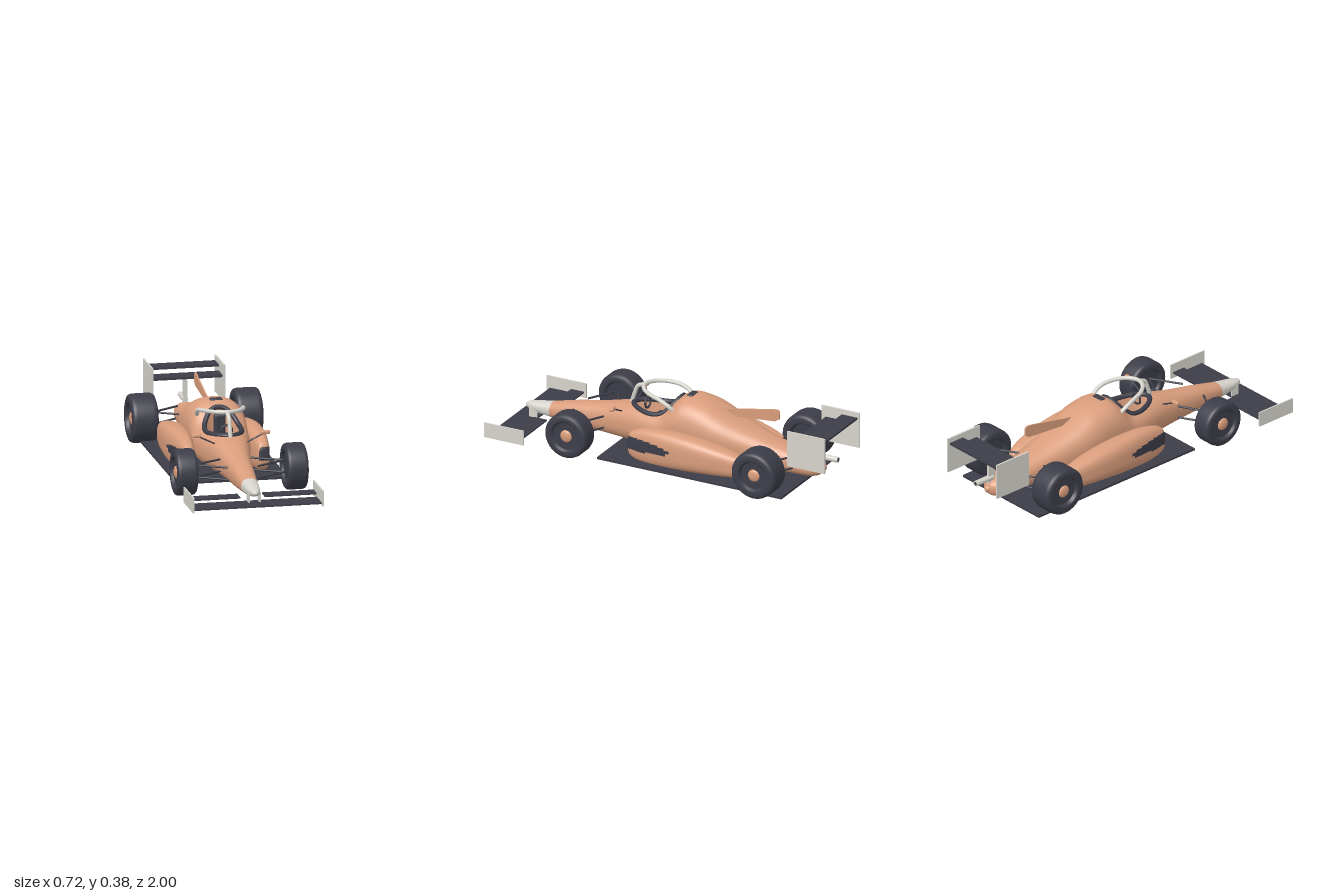
import * as THREE from 'three';
import { RoundedBoxGeometry } from 'three/addons/geometries/RoundedBoxGeometry.js';

const mat = (name, color) => Object.assign(new THREE.MeshStandardMaterial({ color }), { name });
const V = (x, y, z) => new THREE.Vector3(x, y, z);

// Smooth run of superellipse sections; stations are [z, centreX, halfWidth, bottom, top]
function makeHull(stations, power) {
  const a = new THREE.CatmullRomCurve3(stations.map(s => V(s[0], s[1], s[2])), false, 'catmullrom');
  const b = new THREE.CatmullRomCurve3(stations.map(s => V(s[0], s[3], s[4])), false, 'catmullrom');
  const at = t => {
    const p = a.getPoint(t), q = b.getPoint(t);
    return { z: p.x, cx: p.y, w: Math.max(p.z, 0.001), mid: (q.y + q.z) / 2, h: (q.z - q.y) / 2 };
  };
  const bend = v => Math.sign(v) * Math.abs(v) ** (2 / power);
  const point = (t, angle) => {
    const s = at(t);
    return V(s.cx + s.w * bend(Math.cos(angle)), s.mid + s.h * bend(Math.sin(angle)), s.z);
  };
  const topY = (x, z) => {
    let lo = 0, hi = 1;
    for (let i = 0; i < 30; i++) {
      const m = (lo + hi) / 2;
      if (at(m).z > z) lo = m; else hi = m;
    }
    const s = at(lo);
    return s.mid + s.h * Math.max(0, 1 - Math.abs((x - s.cx) / s.w) ** power) ** (1 / power);
  };
  return { point, topY };
}

// Skin a grid of points; pick(centre) gives a material index, or -1 for a hole
function skin(rows, cols, pointAt, pick = () => 0) {
  const pos = [], groups = [[], []];
  const pts = [];
  for (let i = 0; i <= rows; i++) for (let j = 0; j < cols; j++) {
    const p = pointAt(i / rows, (j / cols) * Math.PI * 2);
    pts.push(p);
    pos.push(p.x, p.y, p.z);
  }
  for (let i = 0; i < rows; i++) for (let j = 0; j < cols; j++) {
    const k = (j + 1) % cols;
    const a = i * cols + j, b = i * cols + k, c = a + cols, d = b + cols;
    const centre = V(0, 0, 0).add(pts[a]).add(pts[b]).add(pts[c]).add(pts[d]).multiplyScalar(0.25);
    const m = pick(centre);
    if (m >= 0) groups[m].push(a, c, b, b, c, d);
  }
  const g = new THREE.BufferGeometry();
  g.setAttribute('position', new THREE.Float32BufferAttribute(pos, 3));
  g.setIndex([...groups[0], ...groups[1]]);
  g.addGroup(0, groups[0].length, 0);
  g.addGroup(groups[0].length, groups[1].length, 1);
  g.computeVertexNormals();
  return g;
}

export function createModel() {
  const car = new THREE.Group();
  const paint = mat('peach paint', 0xd99d7c);
  const dark = mat('charcoal', 0x3d3d49);
  const light = mat('pale grey', 0xd6d4cc);
  const inner = mat('cockpit lining', 0xd99d7c);
  inner.side = THREE.DoubleSide;

  const add = (name, geometry, material, x = 0, y = 0, z = 0, parent = car) => {
    const m = new THREE.Mesh(geometry, material);
    m.name = name;
    m.position.set(x, y, z);
    parent.add(m);
    return m;
  };
  const box = (name, material, x0, x1, y0, y1, z0, z1) =>
    add(name, new THREE.BoxGeometry(x1 - x0, y1 - y0, z1 - z0), material, (x0 + x1) / 2, (y0 + y1) / 2, (z0 + z1) / 2);
  const rod = (name, from, to, r, material) => {
    const m = add(name, new THREE.CylinderGeometry(r, r, from.distanceTo(to), 12), material);
    m.position.copy(from).lerp(to, 0.5);
    m.quaternion.setFromUnitVectors(V(0, 1, 0), to.clone().sub(from).normalize());
  };
  const tube = (name, points, r, material, closed = false) =>
    add(name, new THREE.TubeGeometry(new THREE.CatmullRomCurve3(points, closed), 64, r, 12, closed), material);

  // Fuselage with a cockpit opening, and a pale nose cone
  const hull = makeHull([
    [0.935, 0, 0.002, 0.1, 0.104], [0.92, 0, 0.02, 0.086, 0.119], [0.87, 0, 0.036, 0.074, 0.13],
    [0.77, 0, 0.047, 0.062, 0.147], [0.62, 0, 0.062, 0.052, 0.182], [0.45, 0, 0.08, 0.048, 0.215],
    [0.3, 0, 0.108, 0.045, 0.25], [0.2, 0, 0.13, 0.044, 0.264], [0.08, 0, 0.152, 0.042, 0.272],
    [0.03, 0, 0.156, 0.042, 0.295], [-0.03, 0, 0.16, 0.042, 0.352], [-0.09, 0, 0.162, 0.042, 0.373],
    [-0.2, 0, 0.163, 0.042, 0.357], [-0.3, 0, 0.155, 0.042, 0.318], [-0.42, 0, 0.13, 0.044, 0.27],
    [-0.55, 0, 0.103, 0.046, 0.225], [-0.7, 0, 0.083, 0.05, 0.185], [-0.81, 0, 0.073, 0.052, 0.168],
    [-0.86, 0, 0.058, 0.062, 0.155], [-0.885, 0, 0.03, 0.08, 0.135], [-0.893, 0, 0.002, 0.106, 0.11]], 2.4);
  const split = 3 / 20, openZ = 0.125, openL = 0.145, openW = 0.097;
  const inOpening = p => {
    const c = (p.z - openZ) / openL;
    return p.y > 0.2 && Math.abs(c) < 1 && Math.abs(p.x) < openW * Math.sqrt(1 - c * c) * (1 - 0.2 * c);
  };
  add('noseCone', skin(24, 64, (t, a) => hull.point(t * split, a)), light);
  add('fuselage', skin(170, 96, (t, a) => hull.point(split + t * (1 - split), a), p => inOpening(p) ? -1 : 0), [paint, dark]);
  add('tailKnob', new THREE.SphereGeometry(0.02, 20, 14), paint, 0, 0.108, -0.885);

  // Cockpit: rim, lining, seat and steering wheel
  const rimPoint = a => {
    const x = openW * Math.sin(a) * (1 - 0.2 * Math.cos(a)), z = openZ + openL * Math.cos(a);
    return V(x, hull.topY(x, z), z);
  };
  tube('cockpitRim', Array.from({ length: 40 }, (_, i) => rimPoint(i / 40 * Math.PI * 2)), 0.0135, dark, true);
  add('cockpitLining', skin(10, 48, (t, a) => {
    const p = rimPoint(a), s = t < 0.7 ? 1 - t * 0.2 : 0.86 * (1 - t) / 0.3;
    return V(p.x * s, THREE.MathUtils.lerp(p.y, 0.15, Math.min(1, t / 0.7)), openZ + (p.z - openZ) * s);
  }), inner);
  add('seat', new RoundedBoxGeometry(0.13, 0.05, 0.15, 3, 0.02), dark, 0, 0.185, 0.08);
  add('headrest', new RoundedBoxGeometry(0.065, 0.14, 0.035, 3, 0.015), dark, 0, 0.245, 0.012);
  add('steeringWheel', new THREE.TorusGeometry(0.03, 0.006, 10, 28), dark, 0, 0.265, 0.19);

  // Protective hoop over the cockpit
  const hoop = [[0.112, 0.3, -0.03], [0.123, 0.328, 0], [0.122, 0.352, 0.05], [0.1, 0.365, 0.13], [0.055, 0.37, 0.185]];
  tube('halo', [...hoop.map(p => V(...p)), V(0, 0.372, 0.205), ...hoop.map(p => V(-p[0], p[1], p[2])).reverse()], 0.0115, light);
  tube('haloPillar', [V(0, 0.37, 0.205), V(0, 0.35, 0.25), V(0, 0.305, 0.27), V(0, 0.25, 0.288)], 0.0115, light);

  // Engine cover intake and fin
  add('topIntake', new RoundedBoxGeometry(0.07, 0.02, 0.036, 3, 0.008), dark, 0, 0.368, -0.083);
  const finShape = new THREE.Shape([[0.28, 0.325], [0.57, 0.384], [0.605, 0.387], [0.617, 0.378], [0.615, 0.333], [0.59, 0.317], [0.33, 0.295]]
    .map(p => new THREE.Vector2(...p)));
  const fin = add('engineFin', new THREE.ExtrudeGeometry(finShape, { depth: 0.008, bevelEnabled: false }), paint, -0.004);
  fin.rotation.y = Math.PI / 2;

  // Floor
  box('floor', dark, -0.307, 0.307, 0.018, 0.03, -0.792, 0.337);

  // Front wing
  box('frontWingMain', dark, -0.355, 0.355, 0.038, 0.046, 0.85, 0.98);
  box('rearWingMain', dark, -0.195, 0.195, 0.3, 0.312, -0.893, -0.795);
  box('rearWingFlap', dark, -0.195, 0.195, 0.335, 0.346, -0.988, -0.893);
  box('rearWingPillar', light, -0.008, 0.008, 0.14, 0.302, -0.885, -0.84);
  const exhaust = add('exhaust', new THREE.CylinderGeometry(0.016, 0.016, 0.12, 24), light, 0, 0.17, -0.915);
  exhaust.rotation.x = Math.PI / 2;
  const bore = add('exhaustBore', new THREE.CylinderGeometry(0.01, 0.01, 0.002, 20), dark, 0, 0.17, -0.9755);
  bore.rotation.x = Math.PI / 2;

  // Tyre turned from a rounded profile, with a dished wheel and hub cap
  const wheel = (name, side, x, y, z, r, width) => {
    const g = new THREE.Group(), h = width / 2;
    g.name = name;
    g.position.set(side * x, y, z);
    car.add(g);
    const half = [[0.001, h * 0.72], [0.076, h * 0.72], [0.078, h * 0.74], [0.084, h * 0.96], [0.09, h],
      [r - 0.022, h], [r - 0.01, h * 0.94], [r - 0.003, h * 0.82], [r, h * 0.6]];
    const profile = [...half.map(p => new THREE.Vector2(p[0], -p[1])), ...half.map(p => new THREE.Vector2(...p)).reverse()];
    add('tyre', new THREE.LatheGeometry(profile, 56), dark, 0, 0, 0, g).rotation.z = Math.PI / 2;
    add('hubCap', new THREE.SphereGeometry(0.035, 24, 16), paint, side * h * 0.72, 0, 0, g).scale.x = 0.4;
  };

  for (const s of [1, -1]) {
    const sideName = s > 0 ? 'left' : 'right';

    // Sidepod with a dark inlet panel on its outer face
    const pod = makeHull([
      [0.195, 0.207, 0.002, 0.1, 0.12], [0.19, 0.207, 0.024, 0.065, 0.155], [0.17, 0.206, 0.036, 0.036, 0.185],
      [0.1, 0.205, 0.048, 0.015, 0.208], [0, 0.205, 0.06, 0.012, 0.22], [-0.15, 0.205, 0.069, 0.02, 0.218],
      [-0.3, 0.2, 0.068, 0.028, 0.2], [-0.42, 0.196, 0.055, 0.035, 0.175], [-0.5, 0.191, 0.04, 0.045, 0.152],
      [-0.545, 0.188, 0.022, 0.065, 0.127], [-0.553, 0.188, 0.002, 0.09, 0.1]].map(p => [p[0], p[1] * s, ...p.slice(2)]), 2.8);
    const inlet = p => {
      const u = THREE.MathUtils.clamp((p.z + 0.08) / 0.28, 0, 1);
      return (p.x * s > 0.205 || p.z > 0.187) && Math.abs(p.y - 0.124) < 0.037 * Math.sqrt(1 - (1 - u) ** 2) ? 1 : 0;
    };
    add(sideName + 'Sidepod', skin(140, 80, pod.point, inlet), [paint, dark]);

    // Wheels
    wheel(sideName + 'FrontWheel', s, 0.304, 0.133, 0.505, 0.127, 0.115);
    wheel(sideName + 'RearWheel', s, 0.289, 0.14, -0.642, 0.134, 0.144);

    // Wishbones
    for (const y of [0.168, 0.101]) {
      for (const z of [0.415, 0.6]) rod('frontWishbone', V(s * 0.25, y, 0.505), V(s * 0.085, y, z), 0.0055, dark);
      for (const z of [-0.55, -0.74]) rod('rearWishbone', V(s * 0.225, y, -0.642), V(s * 0.07, y, z), 0.0055, dark);
    }

    // Wing flaps, end plates and nose pylons
    const span = (name, m, x0, x1, ...rest) => box(name, m, Math.min(s * x0, s * x1), Math.max(s * x0, s * x1), ...rest);
    span('frontWingFlap', dark, 0.068, 0.355, 0.059, 0.066, 0.77, 0.85);
    span('frontEndPlate', light, 0.353, 0.361, 0.03, 0.115, 0.758, 1);
    span('rearEndPlate', light, 0.193, 0.203, 0.17, 0.374, -1, -0.77);
    span('nosePylon', light, 0.027, 0.034, 0.044, 0.1, 0.85, 0.9);

    // Mirrors
    add('mirror', new RoundedBoxGeometry(0.048, 0.022, 0.022, 3, 0.008), paint, s * 0.19, 0.275, 0.302);
    rod('mirrorStalk', V(s * 0.175, 0.268, 0.302), V(s * 0.09, 0.226, 0.302), 0.004, dark);
  }
  return car;
}
